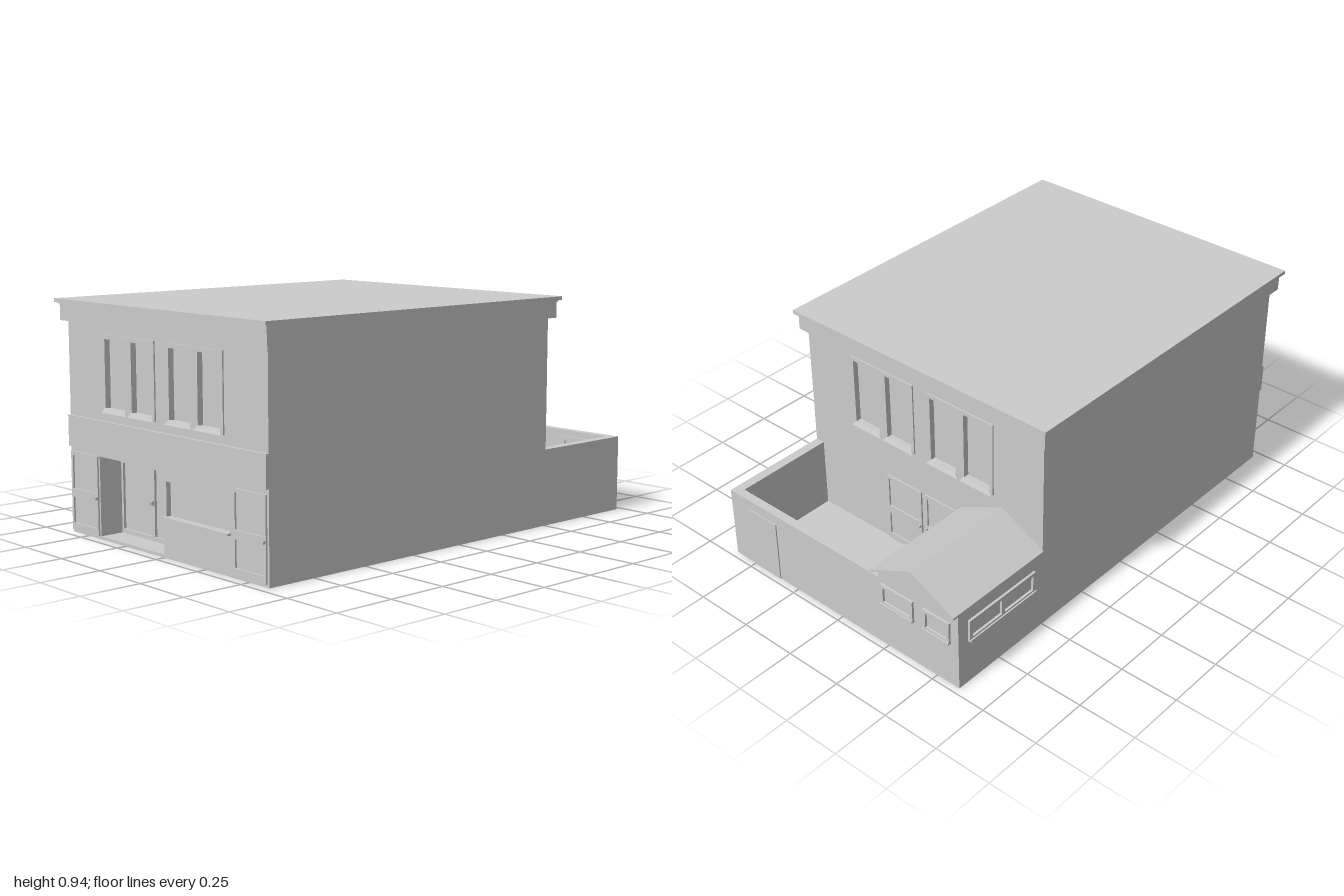
import * as THREE from 'three';

const mat = new THREE.MeshStandardMaterial({ color: 0xcccccc, flatShading: true });

function add(parent, name, geo) {
  const m = new THREE.Mesh(geo, mat);
  m.name = name;
  parent.add(m);
  return m;
}

// box given by its two extreme corners
function box(parent, name, x0, y0, z0, x1, y1, z1) {
  const g = new THREE.BoxGeometry(x1 - x0, y1 - y0, z1 - z0);
  g.translate((x0 + x1) / 2, (y0 + y1) / 2, (z0 + z1) / 2);
  return add(parent, name, g);
}

const corners = ([x0, y0, x1, y1]) => [[x0, y0], [x1, y0], [x1, y1], [x0, y1]].map(p => new THREE.Vector2(...p));

// upright plate facing +z with rectangular holes [x0, y0, x1, y1]
function plate(parent, name, rect, holes, z0, z1) {
  const s = new THREE.Shape(corners(rect));
  for (const h of holes) s.holes.push(new THREE.Path(corners(h)));
  const g = new THREE.ExtrudeGeometry(s, { depth: z1 - z0, bevelEnabled: false });
  g.translate(0, 0, z0);
  return add(parent, name, g);
}

// prism along z from an outline
function prism(parent, name, pts, z0, z1) {
  const s = new THREE.Shape(pts.map(p => new THREE.Vector2(...p)));
  const g = new THREE.ExtrudeGeometry(s, { depth: z1 - z0, bevelEnabled: false });
  g.translate(0, 0, z0);
  return add(parent, name, g);
}

// window sill: narrow at the pane, flaring down and outwards
function sill(parent, x0, x1, y0, y1, z0, z1, flare) {
  const g = new THREE.BoxGeometry(1, 1, 1);
  const p = g.attributes.position;
  for (let i = 0; i < p.count; i++) {
    const top = p.getY(i) > 0, out = p.getZ(i) > 0, f = top ? 0 : flare;
    p.setXYZ(i, p.getX(i) < 0 ? x0 - f : x1 + f, top ? y1 : y0, out ? (top ? z1 - 0.007 : z1) : z0);
  }
  g.computeVertexNormals();
  add(parent, 'windowSill', g);
}

// the two pane openings of an upstairs window
const paneHoles = (x0, y0, y1) => [
  [x0 + 0.015, y0 + 0.017, x0 + 0.145, y1 - 0.017],
  [x0 + 0.187, y0 + 0.017, x0 + 0.317, y1 - 0.017],
];

function upstairsWindow(parent, x0, y0, y1, zWall, zBack) {
  const holes = paneHoles(x0, y0, y1);
  plate(parent, 'windowFrame', [x0, y0, x0 + 0.332, y1], holes, zWall, zWall + 0.006);
  for (const [a, b, c, d] of holes) {
    box(parent, 'windowPane', a, b, zBack, c, d, zWall - 0.018);
    sill(parent, a, c, y0, y0 + 0.018, zWall, zWall + 0.017, 0.016);
  }
}

// two-panel door with a knob
function panelDoor(parent, x0, x1, z, knobX) {
  const a = x0 + 0.012, b = x1 - 0.012;
  plate(parent, 'panelDoor', [x0, 0.012, x1, 0.33], [[a, 0.04, b, 0.145], [a, 0.18, b, 0.315]], z, z + 0.007);
  box(parent, 'doorKnob', knobX - 0.004, 0.156, z + 0.005, knobX + 0.004, 0.168, z + 0.018);
}

// small framed window mounted on a wall
function smallWindow(parent, rect, holes, z) {
  plate(parent, 'smallWindowFrame', rect, holes, z, z + 0.01);
  box(parent, 'smallWindowSill', rect[0], rect[1] - 0.003, z, rect[2], rect[1] + 0.007, z + 0.016);
}

export function createModel() {
  const model = new THREE.Group();
  model.name = 'shopBuilding';

  // main block and cornice
  box(model, 'mainBlock', -0.61, 0, -0.48, 0.61, 0.85, 0.85);
  box(model, 'cornice', -0.633, 0.85, -0.525, 0.633, 0.915, 0.983);
  box(model, 'roofNeck', -0.638, 0.915, -0.53, 0.638, 0.921, 0.988);
  box(model, 'roofSlab', -0.648, 0.921, -0.54, 0.648, 0.936, 1.0);

  // street front with openings
  const front = new THREE.Group();
  front.name = 'streetFront';
  model.add(front);
  const entry = [-0.414, 0.012, 0, 0.33];
  const shopPane = [0.018, 0.16, 0.39, 0.293];
  const xs = [-0.371, 0.036];
  plate(front, 'frontWall', [-0.61, 0, 0.61, 0.85],
    [entry, shopPane, ...xs.flatMap(x => paneHoles(x, 0.51, 0.812))], 0.85, 0.96);
  for (const x of xs) upstairsWindow(front, x, 0.51, 0.812, 0.96, 0.85);
  box(front, 'signBand', -0.61, 0.35, 0.96, 0.61, 0.475, 0.972);

  // recessed double entrance
  for (const [a, b] of [[-0.414, -0.207], [-0.207, 0]])
    plate(front, 'entranceDoor', [a, 0.012, b, 0.33], [[a + 0.012, 0.03, b - 0.011, 0.295]], 0.85, 0.86);
  for (const x of [-0.212, -0.202])
    box(front, 'entranceHandle', x - 0.003, 0.155, 0.86, x + 0.003, 0.17, 0.872);
  box(front, 'doorCloser', -0.248, 0.313, 0.86, -0.163, 0.324, 0.872);

  // shop window and side doors
  box(front, 'shopWindowPane', 0.018, 0.16, 0.85, 0.39, 0.293, 0.94);
  box(front, 'shopWindowSill', 0.008, 0.152, 0.96, 0.398, 0.16, 0.975);
  panelDoor(front, -0.604, -0.422, 0.96, -0.427);
  panelDoor(front, 0.418, 0.6, 0.96, 0.594);

  // rear side, built facing +z then turned round
  const rear = new THREE.Group();
  rear.name = 'rearSide';
  rear.rotation.y = Math.PI;
  model.add(rear);
  plate(rear, 'rearWall', [-0.61, 0, 0.61, 0.85], xs.flatMap(x => paneHoles(x, 0.502, 0.822)), 0.48, 0.5);
  for (const x of xs) upstairsWindow(rear, x, 0.502, 0.822, 0.5, 0.479);
  panelDoor(rear, -0.2, -0.01, 0.5, -0.018);
  panelDoor(rear, 0.01, 0.195, 0.5, 0.018);

  // walled yard
  box(model, 'yardFloor', -0.61, 0, -0.97, 0.61, 0.01, -0.5);
  box(model, 'yardSideWall', 0.57, 0, -0.935, 0.61, 0.315, -0.5);
  box(model, 'yardBackWall', -0.61, 0, -0.972, 0.61, 0.315, -0.935);
  box(rear, 'yardGate', -0.5, 0.002, 0.97, -0.35, 0.272, 0.977);
  plate(model, 'yardGateFrame', [0.335, 0.01, 0.515, 0.29], [[0.355, 0.02, 0.495, 0.272]], -0.935, -0.925);

  // gabled outbuilding
  prism(model, 'outbuilding', [[-0.61, 0], [-0.21, 0], [-0.21, 0.352], [-0.405, 0.449], [-0.61, 0.352]], -0.972, -0.5);
  prism(model, 'outbuildingRoof',
    [[-0.615, 0.35], [-0.405, 0.45], [-0.198, 0.35], [-0.198, 0.36], [-0.405, 0.462], [-0.615, 0.36]], -1.0, -0.5);
  smallWindow(rear, [0.225, 0.2, 0.39, 0.295], [[0.24, 0.215, 0.375, 0.28]], 0.972);
  smallWindow(rear, [0.44, 0.2, 0.572, 0.295], [[0.455, 0.215, 0.557, 0.28]], 0.972);

  // double window on the outbuilding's outer side
  const side = new THREE.Group();
  side.name = 'outbuildingSide';
  side.rotation.y = -Math.PI / 2;
  model.add(side);
  smallWindow(side, [-0.92, 0.2, -0.55, 0.295],
    [[-0.905, 0.215, -0.743, 0.28], [-0.727, 0.215, -0.565, 0.28]], 0.61);

  return model;
}
